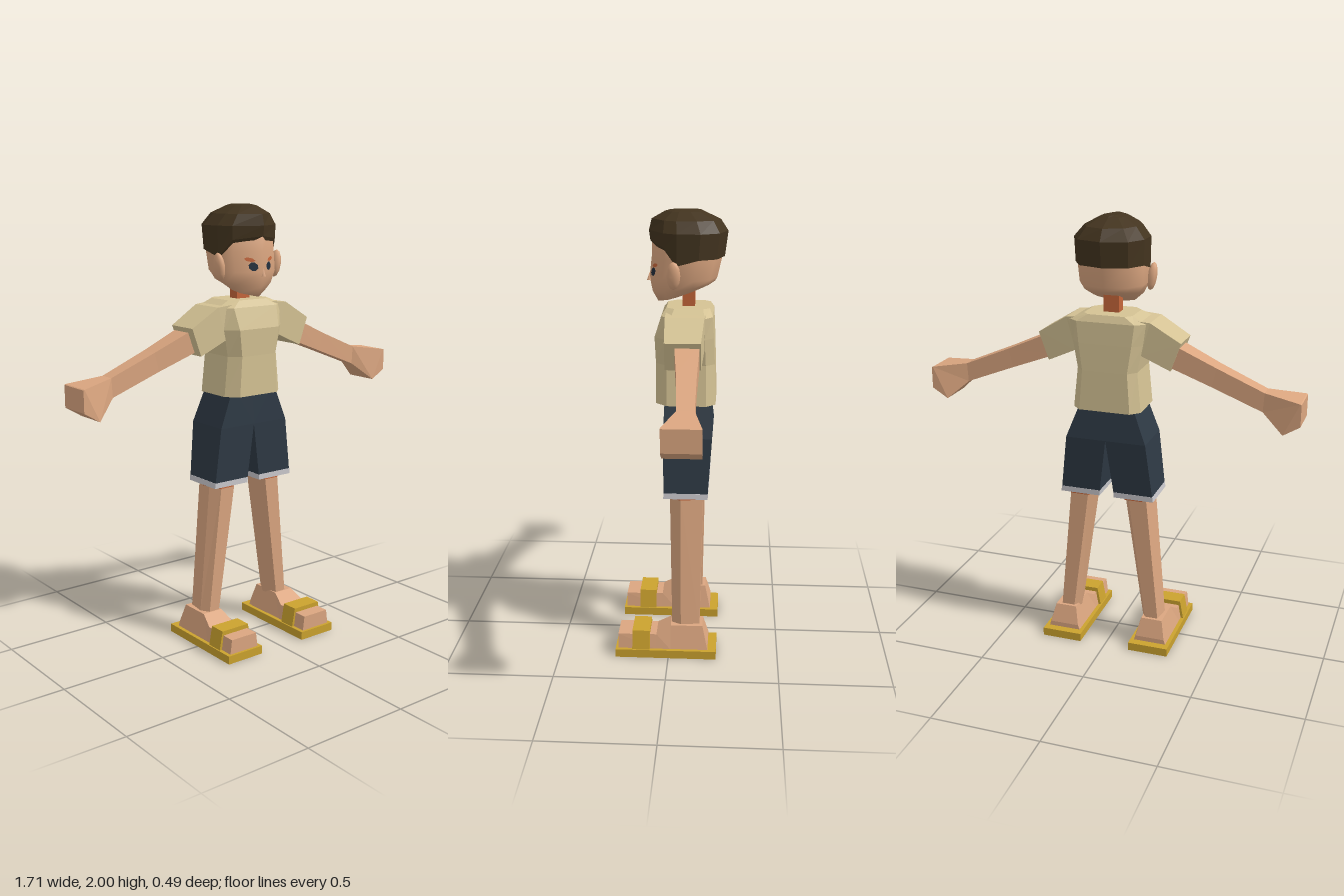
import * as THREE from 'three';
import { mergeVertices } from 'three/addons/utils/BufferGeometryUtils.js';

const colours = {
  skin: 0xdba680, shirt: 0xd4c294, shorts: 0x2e3944, hem: 0xc9c8cc,
  gold: 0xcba22e, hair: 0x43341f, orange: 0xc5663a, eye: 0x222e3c,
};

// Closed solid through rings of equal point count; sharp facets unless smooth.
function loft(rings, smooth = false) {
  const pos = [];
  let volume = 0;
  const tri = (a, b, c) => {
    volume += new THREE.Vector3(...a).dot(new THREE.Vector3(...b).cross(new THREE.Vector3(...c)));
    pos.push(a, b, c);
  };
  const n = rings[0].length;
  for (let r = 0; r < rings.length - 1; r++) {
    for (let i = 0; i < n; i++) {
      const j = (i + 1) % n, a = rings[r], b = rings[r + 1];
      tri(a[i], a[j], b[j]);
      tri(a[i], b[j], b[i]);
    }
  }
  const first = rings[0], last = rings[rings.length - 1];
  for (let i = 1; i < n - 1; i++) {
    tri(first[0], first[i + 1], first[i]);
    tri(last[0], last[i], last[i + 1]);
  }
  // keep faces pointing outward, also for mirrored parts
  if (volume < 0) {
    for (let i = 0; i < pos.length; i += 3) [pos[i], pos[i + 1]] = [pos[i + 1], pos[i]];
  }
  let g = new THREE.BufferGeometry();
  g.setAttribute('position', new THREE.Float32BufferAttribute(pos.flat(), 3));
  if (smooth) g = mergeVertices(g, 1e-4);
  g.computeVertexNormals();
  return g;
}

// Horizontal outlines, given as unit points (x, z) with +z to the front
const skull = [[0, 1], [0.77, 0.6], [1, 0.25], [1, -0.33], [0.71, -0.8],
  [0, -1], [-0.71, -0.8], [-1, -0.33], [-1, 0.25], [-0.77, 0.6]];
const octagon = [[0.68, 1], [1, 0.62], [1, -0.7], [0.75, -1],
  [-0.75, -1], [-1, -0.7], [-1, 0.62], [-0.68, 1]];
const shin = [[0.5, 1], [1, 0.35], [0.75, -1], [-0.5, -1], [-1, -0.3], [-0.6, 1]];

function ring(outline, y, half, front, back, tilt = 0, cx = 0) {
  return outline.map(([u, v]) => {
    const z = (front + back) / 2 + v * (front - back) / 2;
    return [cx + u * half, y + tilt * (front - z), z];
  });
}

// Four-cornered section from a top and a bottom edge running along z
const edgePair = (s, xt, yt, xb, yb, z0, z1) =>
  [[s * xt, yt, z0], [s * xt, yt, z1], [s * xb, yb, z1], [s * xb, yb, z0]];

// Level rectangle
const slab = (s, y, x0, x1, z0, z1) =>
  [[s * x0, y, z0], [s * x1, y, z0], [s * x1, y, z1], [s * x0, y, z1]];

// Upright trapezoid across a foot
const FOOT_X = 0.213;
const footCut = (s, z, y0, y1, low, high) =>
  [[-low, y0], [low, y0], [high, y1], [-high, y1]].map(([x, y]) => [s * FOOT_X + x, y, z]);

export function createModel() {
  const model = new THREE.Group();
  const mats = {};
  for (const [name, color] of Object.entries(colours)) {
    mats[name] = new THREE.MeshStandardMaterial({ color });
    mats[name].name = name;
  }
  const add = (name, geometry, mat) => {
    const mesh = new THREE.Mesh(geometry, mats[mat]);
    mesh.name = name;
    model.add(mesh);
    return mesh;
  };

  // Head with a chin that rises toward the nape
  add('head', loft([
    ring(skull, 1.6, 0.085, 0.06, -0.16, 0.36),
    ring(skull, 1.645, 0.122, 0.085, -0.19, 0.17),
    ring(skull, 1.71, 0.144, 0.098, -0.2),
    ring(skull, 1.8, 0.147, 0.088, -0.22),
    ring(skull, 1.9, 0.14, 0.085, -0.225),
    ring(skull, 1.96, 0.07, 0.03, -0.15),
  ], true), 'skin');

  // Hair cap, lower at the temples than at the fringe
  const hairline = [1.865, 1.85, 1.775, 1.8, 1.8, 1.8, 1.8, 1.8, 1.775, 1.85];
  add('hair', loft([
    ring(skull, 1.8, 0.153, 0.094, -0.231).map(([x, , z], i) => [x, hairline[i], z]),
    ring(skull, 1.91, 0.156, 0.1, -0.245),
    ring(skull, 1.96, 0.115, 0.088, -0.212),
    ring(skull, 1.993, 0.055, 0.03, -0.14),
    ring(skull, 2.0, 0.025, 0.005, -0.125),
  ]), 'hair');

  const nose = add('nose', new THREE.ConeGeometry(0.012, 0.035, 4), 'skin');
  nose.position.set(0, 1.71, 0.098);

  add('neck', new THREE.BoxGeometry(0.07, 0.13, 0.055), 'orange').position.set(0, 1.62, -0.075);

  // Shirt body
  add('shirt', loft([
    ring(octagon, 1.16, 0.155, 0.065, -0.2),
    ring(octagon, 1.34, 0.137, 0.065, -0.195),
    ring(octagon, 1.46, 0.16, 0.07, -0.19),
    ring(octagon, 1.555, 0.175, 0.04, -0.185),
    ring(octagon, 1.585, 0.11, 0.02, -0.17),
  ]), 'shirt');

  for (const s of [1, -1]) {
    const side = s > 0 ? 'left' : 'right';

    // Face details
    const eye = add(side + 'Eye', new THREE.CircleGeometry(0.023, 8), 'eye');
    eye.position.set(s * 0.042, 1.735, 0.079);
    eye.rotation.set(-0.1, s * 0.49, s * 0.35, 'YXZ');
    eye.scale.y = 0.8;
    const brow = add(side + 'Eyebrow', new THREE.CircleGeometry(0.026, 6), 'orange');
    brow.position.set(s * 0.056, 1.765, 0.07);
    brow.rotation.set(-0.12, s * 0.49, s * 0.2, 'YXZ');
    brow.scale.y = 0.35;

    const ear = add(side + 'Ear', new THREE.SphereGeometry(1, 8, 6), 'skin');
    ear.scale.set(0.022, 0.062, 0.03);
    ear.position.set(s * 0.157, 1.735, -0.015);
    ear.rotation.z = -s * 0.15;

    // Sleeve, arm and mitten hand
    add(side + 'Sleeve', loft([
      edgePair(s, 0.1, 1.57, 0.1, 1.42, -0.16, 0.02),
      edgePair(s, 0.19, 1.562, 0.15, 1.415, -0.15, 0.02),
      edgePair(s, 0.325, 1.48, 0.28, 1.355, -0.14, 0.015),
    ]), 'shirt');
    add(side + 'Arm', loft([
      edgePair(s, 0.28, 1.475, 0.25, 1.38, -0.135, -0.025),
      edgePair(s, 0.48, 1.385, 0.46, 1.3, -0.13, -0.045),
      edgePair(s, 0.69, 1.297, 0.685, 1.212, -0.13, -0.058),
      edgePair(s, 0.848, 1.275, 0.78, 1.13, -0.165, -0.005),
      edgePair(s, 0.853, 1.272, 0.853, 1.175, -0.165, -0.005),
    ]), 'skin');

    // Shorts leg with pale hem
    add(side + 'ShortsLeg', loft([
      slab(s, 1.2, 0, 0.115, -0.17, 0.025),
      slab(s, 1.02, 0, 0.185, -0.188, 0.03),
      slab(s, 0.77, 0.033, 0.215, -0.172, 0.025),
    ]), 'shorts');
    add(side + 'Hem', loft([
      slab(s, 0.772, 0.032, 0.216, -0.173, 0.026),
      slab(s, 0.747, 0.034, 0.219, -0.172, 0.026),
    ]), 'hem');

    // Leg
    add(side + 'LegTop', loft([
      ring(shin, 0.75, 0.068, 0.001, -0.151, 0, s * 0.128),
      ring(shin, 0.733, 0.068, 0.001, -0.151, 0, s * 0.13),
    ]), 'orange');
    const legRing = (y, half, front, back, cx) =>
      ring(shin, y, half, front, back).map(([x, h, z]) => [s * (x + cx), h, z]);
    add(side + 'Leg', loft([
      legRing(0.76, 0.067, 0, -0.15, 0.128),
      legRing(0.13, 0.048, -0.015, -0.14, 0.203),
    ]), 'skin');

    // Foot and sandal
    add(side + 'Foot', loft([
      footCut(s, -0.18, 0.035, 0.06, 0.077, 0.068),
      footCut(s, -0.155, 0.035, 0.145, 0.077, 0.05),
      footCut(s, -0.01, 0.035, 0.145, 0.077, 0.05),
      footCut(s, 0.055, 0.035, 0.105, 0.077, 0.065),
      footCut(s, 0.23, 0.035, 0.105, 0.077, 0.068),
    ]), 'skin');
    add(side + 'Sole', new THREE.BoxGeometry(0.188, 0.038, 0.46), 'gold')
      .position.set(s * FOOT_X, 0.019, 0.012);
    add(side + 'Strap', loft([
      footCut(s, 0.085, 0.03, 0.125, 0.09, 0.072),
      footCut(s, 0.165, 0.03, 0.125, 0.09, 0.072),
    ]), 'gold');
  }
  return model;
}
